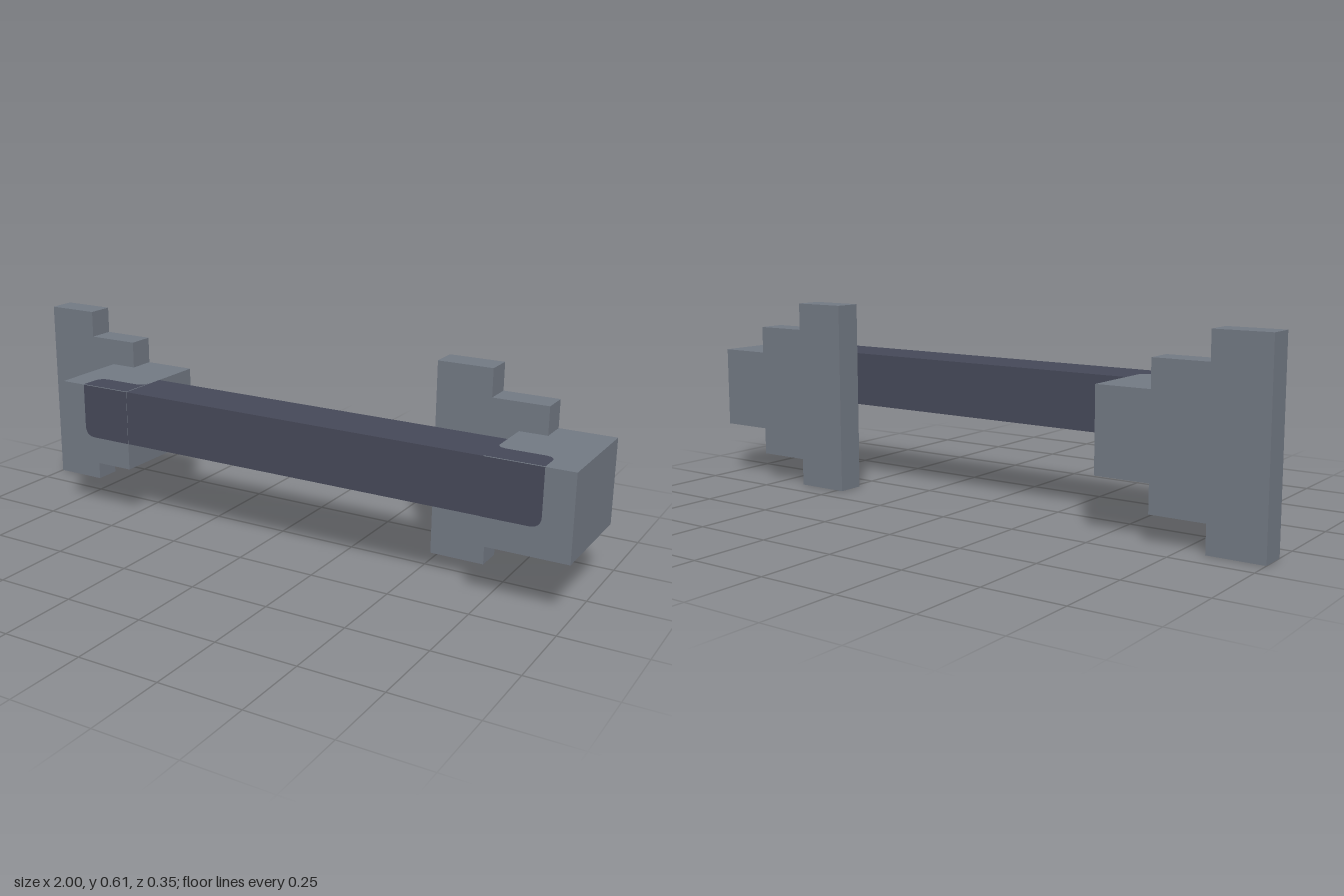
import * as THREE from 'three';

const U = 2 / 23; // base module: the whole model is laid out on this unit

export function createModel() {
  const group = new THREE.Group();
  const grey = new THREE.MeshStandardMaterial({ color: 0x717882 });
  grey.name = 'bracket grey';
  const dark = new THREE.MeshStandardMaterial({ color: 0x454858 });
  dark.name = 'grip dark';

  const add = (name, geometry, material, x, y, z, parent = group) => {
    const mesh = new THREE.Mesh(geometry, material);
    mesh.name = name;
    mesh.position.set(x, y, z);
    parent.add(mesh);
    return mesh;
  };

  // Bracket: stepped wall plate with a block standing out from it
  const outline = [[0, 0], [2, 0], [2, 1], [4, 1], [4, 2], [6, 2], [6, 5], [4, 5], [4, 6], [2, 6], [2, 7], [0, 7]];
  const plateShape = new THREE.Shape(outline.map(([x, y]) => new THREE.Vector2(x * U, y * U)));
  const plateGeometry = new THREE.ExtrudeGeometry(plateShape, { depth: U, bevelEnabled: false });
  const blockGeometry = new THREE.BoxGeometry(3 * U, 3 * U, 3 * U);
  for (const [name, x] of [['rightBracket', -11.5 * U], ['leftBracket', 5.5 * U]]) {
    const bracket = new THREE.Group();
    bracket.name = name;
    bracket.position.x = x;
    group.add(bracket);
    add('wallPlate', plateGeometry, grey, 0, 0, -2 * U, bracket);
    add('block', blockGeometry, grey, 4.5 * U, 3.5 * U, 0.5 * U, bracket);
  }

  // Bar between the blocks
  const barStart = -5.5 * U, barEnd = 8.5 * U;
  add('bar', new THREE.BoxGeometry(barEnd - barStart, 2 * U, 2 * U), dark, (barStart + barEnd) / 2, 4 * U, U);

  // Dark inlay with a rounded outer corner; the top one also has an inner fillet
  const inlay = (side, depth, up, fillet) => {
    const r = 0.035, w = 2 * U;
    const s = new THREE.Shape();
    s.moveTo(0, 0);
    s.lineTo(side * w, 0);
    s.lineTo(side * w, up * (depth - r));
    s.quadraticCurveTo(side * w, up * depth, side * (w - r), up * depth);
    if (fillet) {
      s.lineTo(side * r, up * depth);
      s.quadraticCurveTo(0, up * depth, 0, up * (depth + r));
    } else {
      s.lineTo(0, up * depth);
    }
    s.closePath();
    return new THREE.ShapeGeometry(s, 6);
  };
  const lift = 0.0015;
  for (const [side, x] of [[-1, barStart], [1, barEnd]]) {
    add('frontInlay', inlay(side, 2 * U, -1, false), dark, x, 5 * U, 2 * U + lift);
    const top = add('topInlay', inlay(side, U, 1, true), dark, x, 5 * U + lift, 2 * U);
    top.rotation.x = -Math.PI / 2;
  }
  return group;
}
